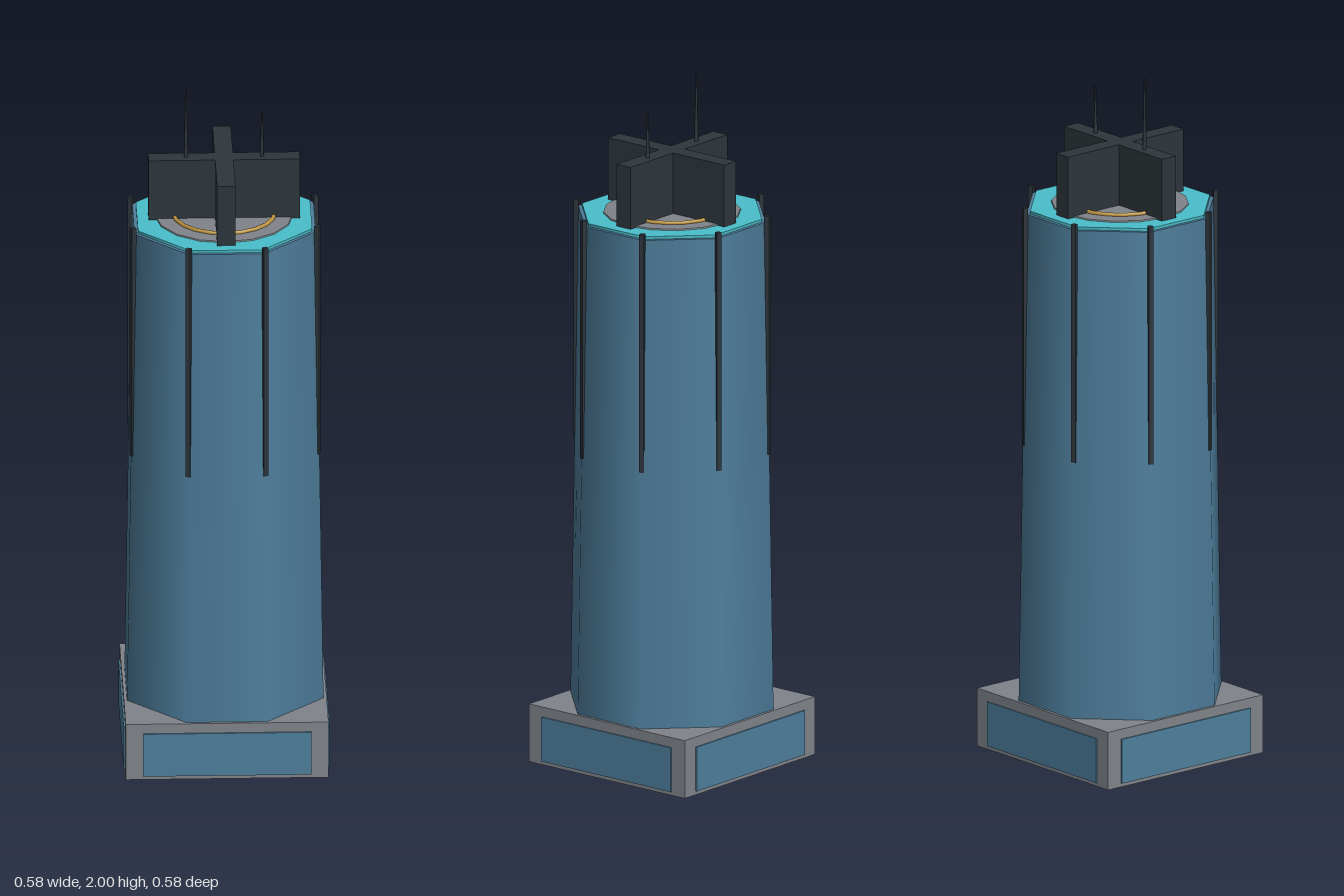
import * as THREE from 'three';

const mat = (name, color) => {
  const m = new THREE.MeshStandardMaterial({ color });
  m.name = name;
  return m;
};

export function createModel() {
  const group = new THREE.Group();
  const blue = mat('blue glass', 0x4e7e9c);
  const cyan = mat('cyan roof', 0x4abfca);
  const grey = mat('grey concrete', 0x80848a);
  const dark = mat('dark steel', 0x2d353b);
  const gold = mat('gold ring', 0xc0963f);

  const add = (name, geometry, material, x = 0, y = 0, z = 0) => {
    const mesh = new THREE.Mesh(geometry, material);
    mesh.name = name;
    mesh.position.set(x, y, z);
    group.add(mesh);
    return mesh;
  };
  const box = (w, h, d) => new THREE.BoxGeometry(w, h, d);

  // Square podium with a thin glass panel on each side
  const baseW = 0.572, baseH = 0.17;
  add('podium', box(baseW, baseH, baseW), grey, 0, baseH / 2, 0);
  for (let i = 0; i < 4; i++) {
    const a = (i * Math.PI) / 2, r = baseW / 2 + 0.001;
    const panel = add('podiumPanel', box(0.476, 0.13, 0.007), blue, Math.sin(a) * r, 0.076, Math.cos(a) * r);
    panel.rotation.y = a;
  }

  // Tapered octagonal shaft, smooth around its sides
  const shaft = new THREE.CylinderGeometry(0.277, 0.3, 1.6 - baseH, 8);
  shaft.rotateY(Math.PI / 8);
  add('shaft', shaft, blue, 0, (1.6 + baseH) / 2, 0);

  // Octagonal roof plate
  const roof = new THREE.CylinderGeometry(0.266, 0.266, 0.012, 8);
  roof.rotateY(Math.PI / 8);
  add('roofPlate', roof, cyan, 0, 1.602, 0);

  // Slim vertical fins on the eight corners
  for (let i = 0; i < 8; i++) {
    const a = Math.PI / 8 + (i * Math.PI) / 4, r = 0.2815;
    const fin = add('cornerFin', box(0.014, 0.7, 0.014), dark, Math.sin(a) * r, 1.27, Math.cos(a) * r);
    fin.rotation.y = a;
  }

  // Round deck with a gold ring
  add('roofDeck', new THREE.CylinderGeometry(0.194, 0.199, 0.02, 16), grey, 0, 1.602, 0);
  const ring = new THREE.TorusGeometry(0.143, 0.006, 8, 20);
  ring.rotateX(Math.PI / 2);
  add('deckRing', ring, gold, 0, 1.615, 0);

  // Crossed crown walls
  const crownH = 0.184, crownY = 1.79 - crownH / 2;
  add('crownWallAcross', box(0.427, crownH, 0.052), dark, 0, crownY, 0);
  add('crownWallDeep', box(0.052, crownH, 0.427), dark, 0, crownY, 0);

  // Two masts of different height
  for (const [x, top] of [[-0.107, 2], [0.107, 1.93]]) {
    const h = top - 1.78;
    add('mast', new THREE.CylinderGeometry(0.002, 0.006, h, 8), dark, x, 1.78 + h / 2, 0);
  }

  return group;
}
